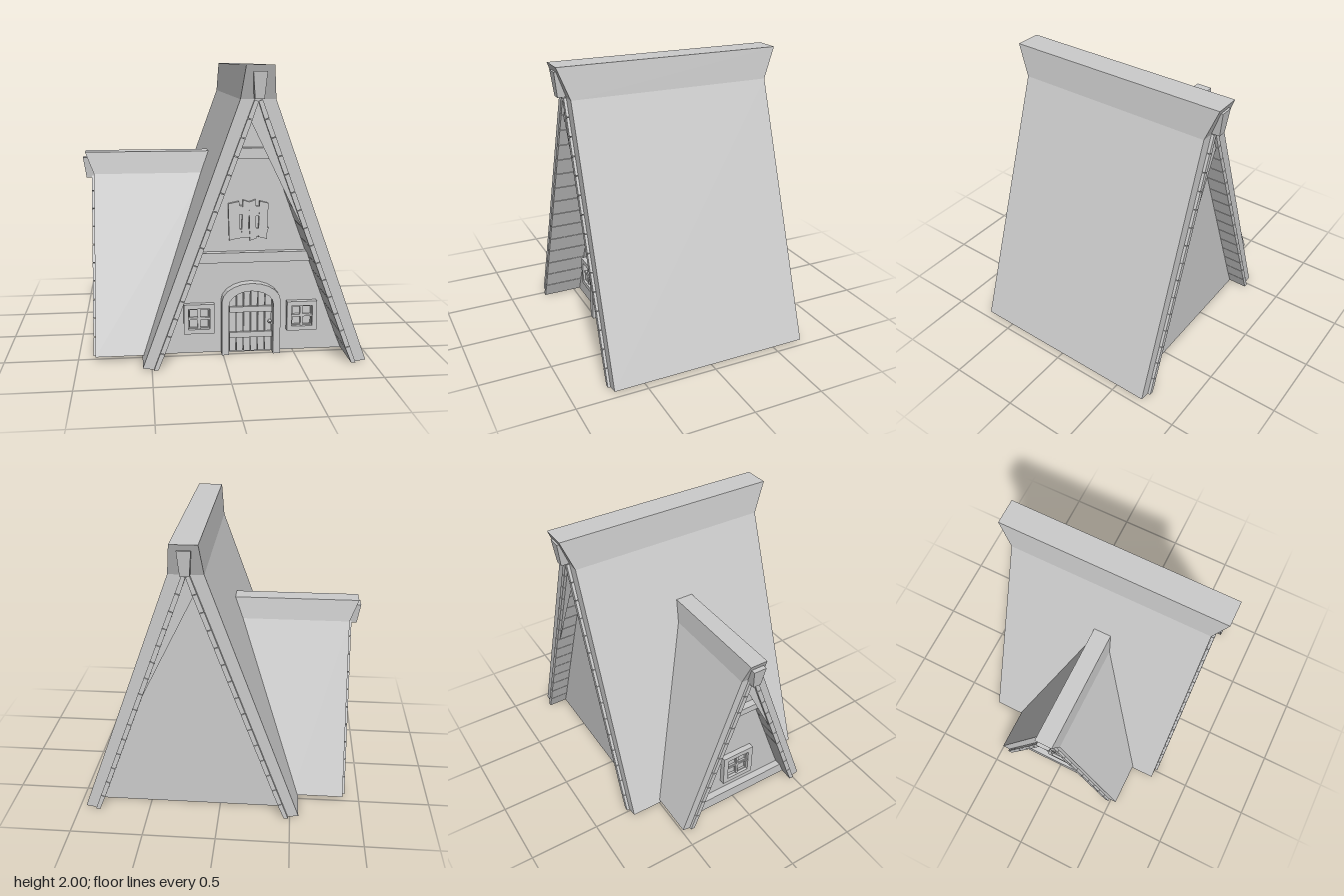
import * as THREE from 'three';

const material = new THREE.MeshStandardMaterial({ color: 0xcccccc, flatShading: true });

function add(parent, name, geometry, x = 0, y = 0, z = 0) {
  const mesh = new THREE.Mesh(geometry, material);
  mesh.name = name;
  mesh.position.set(x, y, z);
  parent.add(mesh);
  return mesh;
}

// Polygon in x/y extruded from z0 to z1
function prism(points, z0, z1, hole) {
  const shape = new THREE.Shape(points.map(([x, y]) => new THREE.Vector2(x, y)));
  if (hole) shape.holes.push(new THREE.Path(hole.map(([x, y]) => new THREE.Vector2(x, y))));
  const g = new THREE.ExtrudeGeometry(shape, { depth: z1 - z0, bevelEnabled: false });
  return g.translate(0, 0, z0);
}

// Move every vertex of a geometry by a rule
function reshape(geometry, rule) {
  const p = geometry.attributes.position;
  const v = new THREE.Vector3();
  for (let i = 0; i < p.count; i++) {
    rule(v.fromBufferAttribute(p, i));
    p.setXYZ(i, v.x, v.y, v.z);
  }
  geometry.computeVertexNormals();
  return geometry;
}

// Block with its own half width and end positions at the bottom and the top
function flaredBlock(y0, y1, bottom, top) {
  return reshape(new THREE.BoxGeometry(1, 1, 1), v => {
    const s = v.y > 0 ? top : bottom;
    v.set(Math.sign(v.x) * s.half, v.y > 0 ? y1 : y0, v.z > 0 ? s.front : s.back);
  });
}

// Steep gabled house body: walls, roof, plank lining and ridge; the gable faces +z
function gabledBody(o) {
  const g = new THREE.Group();
  const trim = geo => o.cut ? reshape(geo, v => { if (v.z < o.cutFrom) v.z = o.cut(v.y); }) : geo;
  const lining = y => o.lineHalf + (0.025 - o.lineHalf) * (y - o.y0) / (o.capY - o.y0);
  const apex = o.capY + 0.04;

  add(g, 'walls', trim(prism([[-o.lineHalf, o.y0], [o.lineHalf, o.y0], [0, apex]], o.wallBack, o.wallFront)));

  add(g, 'roof', trim(prism([
    [-o.lineHalf, o.y0], [-o.outHalf, o.y0 + 0.012], [-o.capHalf, o.capY], [o.capHalf, o.capY],
    [o.outHalf, o.y0 + 0.012], [o.lineHalf, o.y0], [0, apex],
  ], o.back, o.front)));

  // Planks under both roof slopes
  const t = 0.03;
  for (const s of [-1, 1]) {
    for (let i = 0; i < o.planks; i++) {
      const step = (o.capY - o.y0) / o.planks;
      const a = o.y0 + i * step + (i ? 0.002 : 0), b = o.y0 + (i + 1) * step - 0.002;
      const pts = [[lining(a), a], [lining(b), b], [Math.max(lining(b) - t, 0), b - 0.011], [lining(a) - t, Math.max(a - 0.011, o.y0)]];
      const line = pts.map(([x, y]) => [s * x, y]);
      add(g, 'roofPlank', trim(prism(line, o.back - (o.cut ? 0 : 0.02), o.front + 0.018)));
    }
  }

  // Flared ridge cap and the ridge beam showing below it
  add(g, 'ridgeCap', trim(flaredBlock(o.capY, o.topY,
    { half: o.capHalf, front: o.front, back: o.back },
    { half: o.topHalf, front: o.topFront, back: o.topBack })));
  add(g, 'ridgeBeam', trim(flaredBlock(o.beamY[0], o.beamY[1],
    { half: o.beamHalf[0], front: o.beamFront[0], back: o.cut ? o.back : -o.beamFront[0] },
    { half: o.beamHalf[1], front: o.beamFront[1], back: o.cut ? o.back : -o.beamFront[1] })));

  // Horizontal timbers across the gable
  for (const [a, b] of o.timbers) {
    const p = lining(a) - 0.012, q = lining(b) - 0.012;
    add(g, 'gableTimber', prism([[-p, a], [p, a], [q, b], [-q, b]], o.wallFront - 0.02, o.wallFront + 0.05));
  }
  return g;
}

// Square window with frame, pane and crossed bars
function windowUnit(size) {
  const g = new THREE.Group();
  g.name = 'window';
  const h = size / 2, k = h * 0.7;
  const square = r => [[-r, -r], [r, -r], [r, r], [-r, r]];
  add(g, 'windowFrame', prism(square(h), -0.01, 0.04, square(k)));
  add(g, 'windowPane', new THREE.BoxGeometry(k * 2, k * 2, 0.01), 0, 0, 0.003);
  for (const sx of [-1, 1]) for (const sy of [-1, 1]) {
    add(g, 'paneBorder', prism(square(k * 0.46), 0, 0.022, square(k * 0.37)), sx * k * 0.5, sy * k * 0.5);
  }
  add(g, 'windowBar', new THREE.BoxGeometry(0.016, k * 2, 0.03), 0, 0, 0.013);
  add(g, 'windowBar', new THREE.BoxGeometry(k * 2, 0.016, 0.03), 0, 0, 0.013);
  return g;
}

// Arch outline: straight sides up to the spring line, then a half ellipse
function archPoints(half, spring, rise) {
  const pts = [[-half, 0], [half, 0]];
  for (let i = 0; i <= 10; i++) {
    const a = Math.PI * i / 10;
    pts.push([half * Math.cos(a), spring + rise * Math.sin(a)]);
  }
  return pts;
}

function door() {
  const g = new THREE.Group();
  g.name = 'door';
  const half = 0.155, spring = 0.36, rise = 0.1;
  const frame = archPoints(0.205, 0.385, 0.13).slice(1);
  const inner = archPoints(half, spring, rise).slice(1);
  frame.push([-0.205, 0], ...[[-half, 0], ...inner.slice(1).reverse(), [half, 0]]);
  add(g, 'doorFrame', prism(frame, -0.01, 0.07));
  add(g, 'doorBack', prism(archPoints(half, spring, rise), -0.01, 0.012));
  // Upright door boards cut to the arch
  const top = x => spring - 0.004 + rise * Math.sqrt(Math.max(0, 1 - (x / half) ** 2));
  const w = 0.3 / 6;
  for (let i = 0; i < 6; i++) {
    const a = -0.15 + i * w + 0.003, b = a + w - 0.006, m = (a + b) / 2;
    add(g, 'doorBoard', prism([[a, 0.012], [b, 0.012], [b, top(b)], [m, top(m)], [a, top(a)]], 0, 0.03));
  }
  for (const y of [0.137, 0.322]) add(g, 'doorBrace', new THREE.BoxGeometry(0.3, 0.04, 0.02), 0, y, 0.038);
  add(g, 'doorKnob', new THREE.SphereGeometry(0.014, 10, 8), 0.133, 0.23, 0.045);
  return g;
}

// Rough boards nailed over the upper opening
function boardedOpening() {
  const g = new THREE.Group();
  g.name = 'boardedOpening';
  const boards = [[-0.115, 0.075, 0.82, 1.075], [-0.045, 0.045, 0.835, 1.085], [0.013, 0.045, 0.815, 1.085], [0.078, 0.06, 0.825, 1.075]];
  boards.forEach(([x, w, a, b], i) => {
    const k = i % 2 ? 0.008 : -0.008;
    add(g, 'uprightBoard', prism([[x - w / 2, a + k], [x + w / 2, a - k], [x + w / 2 + k, b - k], [x - w / 2 + k, b + k]], -0.01, 0.025));
  });
  for (const [a, b, k] of [[0.985, 1.055, 0.012], [0.83, 0.885, -0.01]]) {
    add(g, 'crossBoard', prism([[-0.14, a + k], [0.105, a - k], [0.12, b - k], [-0.135, b]], -0.01, 0.022));
  }
  return g;
}

export function createModel() {
  const model = new THREE.Group();

  // Main house
  const wallZ = 0.45;
  const house = gabledBody({
    y0: 0, capY: 1.785, topY: 2, outHalf: 0.758, lineHalf: 0.685, capHalf: 0.115, topHalf: 0.09,
    front: 0.72, back: -0.72, topFront: 0.803, topBack: -0.803, wallFront: wallZ, wallBack: -0.6,
    beamY: [1.79, 1.96], beamHalf: [0.03, 0.045], beamFront: [0.78, 0.802],
    planks: 15, timbers: [[0.66, 0.73], [1.375, 1.45]],
  });
  house.name = 'mainHouse';
  house.position.x = 0.197;
  const entrance = door();
  entrance.position.set(-0.002, 0, wallZ);
  house.add(entrance);
  for (const s of [-1, 1]) {
    const w = windowUnit(0.212);
    w.position.set(s * 0.362, 0.258, wallZ);
    house.add(w);
  }
  const boards = boardedOpening();
  boards.position.set(0, 0, wallZ);
  house.add(boards);
  model.add(house);

  // Side wing, cut along the slope of the main roof
  const wing = gabledBody({
    y0: 0.02, capY: 1.23, topY: 1.385, outHalf: 0.5225, lineHalf: 0.467, capHalf: 0.083, topHalf: 0.063,
    front: 0.88, back: 0, topFront: 0.94, topBack: 0, wallFront: 0.76, wallBack: 0,
    beamY: [1.2, 1.345], beamHalf: [0.03, 0.047], beamFront: [0.935, 0.957],
    planks: 10, timbers: [[0.035, 0.12], [0.84, 0.89]],
    cutFrom: 0.3, cut: y => 0.53 - 0.36 * y,
  });
  wing.name = 'sideWing';
  wing.rotation.y = -Math.PI / 2;
  wing.position.z = 0.0225;
  const wingWindow = windowUnit(0.25);
  wingWindow.position.set(0, 0.33, 0.76);
  wing.add(wingWindow);
  model.add(wing);

  return model;
}
